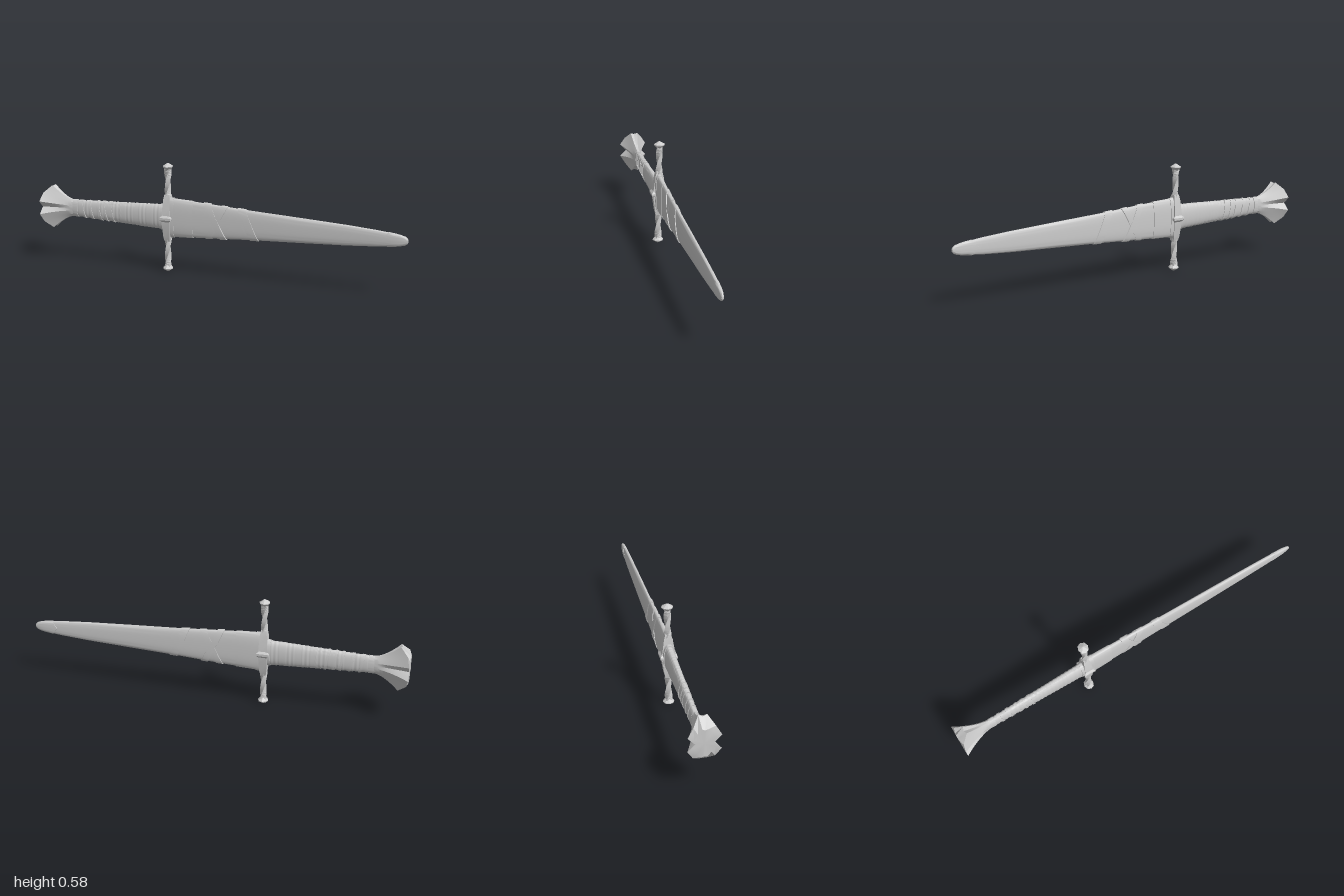
import * as THREE from 'three';
import { toCreasedNormals } from 'three/addons/utils/BufferGeometryUtils.js';

const CY = 0.295; // height of the long axis
const GX = -0.265; // position of the crossguard
const V = (x, y, z) => new THREE.Vector3(x, y, z);
const mat = new THREE.MeshStandardMaterial({ color: 0xcccccc });

// piecewise-linear lookup: pts = [[x, value], ...]
function lerpTable(pts, x) {
  if (x <= pts[0][0]) return pts[0][1];
  for (let i = 1; i < pts.length; i++) {
    const [a, va] = pts[i - 1], [b, vb] = pts[i];
    if (x <= b) return va + ((vb - va) * (x - a)) / (b - a);
  }
  return pts[pts.length - 1][1];
}

// skin closed rings (running y to z, stacked along +x) and cap both ends
function loft(name, rings, crease = 0.6) {
  const n = rings[0].length, pos = [], idx = [];
  rings.forEach((r) => r.forEach((p) => pos.push(p.x, p.y, p.z)));
  const last = (rings.length - 1) * n;
  for (let i = 0; i < rings.length - 1; i++) {
    for (let j = 0; j < n; j++) {
      const a = i * n + j, b = i * n + ((j + 1) % n);
      idx.push(a, b, b + n, a, b + n, a + n);
    }
  }
  [rings[0], rings[rings.length - 1]].forEach((r, e) => {
    const c = r.reduce((s, p) => s.add(p), V(0, 0, 0)).divideScalar(n);
    const k = pos.length / 3;
    pos.push(c.x, c.y, c.z);
    for (let j = 0; j < n; j++) {
      const q = (j + 1) % n;
      if (e) idx.push(k, last + j, last + q);
      else idx.push(k, q, j);
    }
  });
  const g = new THREE.BufferGeometry();
  g.setAttribute('position', new THREE.Float32BufferAttribute(pos, 3));
  g.setIndex(idx);
  const mesh = new THREE.Mesh(toCreasedNormals(g, crease), mat);
  mesh.name = name;
  return mesh;
}

// half height (h), half thickness (w) and squareness (e) along x
const SHEATH = {
  h: [[-0.25, 0.102], [-0.12, 0.097], [0, 0.09], [0.2, 0.077], [0.45, 0.065], [0.7, 0.052],
    [0.85, 0.041], [0.94, 0.031], [0.98, 0.023], [0.993, 0.016], [1, 0.006]],
  w: [[-0.25, 0.019], [0, 0.016], [0.5, 0.014], [0.85, 0.012], [0.97, 0.009], [1, 0.003]],
  e: 0.75,
};
const GRIP = {
  h: [[-0.84, 0.044], [-0.6, 0.054], [-0.4, 0.063], [-0.27, 0.068]],
  w: [[-0.84, 0.017], [-0.5, 0.022], [-0.27, 0.026]],
  e: 0.9,
};

const pw = (v, e) => Math.sign(v) * Math.abs(v) ** e;
function skin(prof, x, a, grow = 0) {
  const h = lerpTable(prof.h, x) + grow, w = lerpTable(prof.w, x) + grow;
  return V(x, CY + h * pw(Math.cos(a), prof.e), w * pw(Math.sin(a), prof.e));
}
// ring whose x may vary around the section
function ring(prof, xAt, grow = 0, n = 40) {
  return Array.from({ length: n }, (_, j) => {
    const a = (j / n) * Math.PI * 2;
    return skin(prof, xAt(pw(Math.cos(a), prof.e)), a, grow);
  });
}
// raised strap; lean = x shift between its middle and its top edge
function strap(name, prof, x, lean, half, grow) {
  const rows = [[-half, -0.003], [-half, grow], [half, grow], [half, -0.003]];
  return loft(name, rows.map(([d, g]) => ring(prof, (c) => x + d + lean * c, g)));
}

function buildPommel() {
  // quarter outline of the lobed end (y, z), mirrored to a full loop
  const q = [[0.112, 0], [0.118, 0.02], [0.08, 0.05], [0.036, 0.077], [0.014, 0.057], [0, 0.042]];
  const half = [...q, ...q.slice(0, -1).reverse().map(([y, z]) => [-y, z])];
  const end = [...half, ...half.slice(1, -1).reverse().map(([y, z]) => [y, -z])];
  const xEnd = (y) => -1 + 0.05 * Math.max(0, (Math.abs(y) - 0.07) / 0.048);
  const rings = [end.map(([y, z]) => V(-1, CY + y * 0.62, z * 0.62))];
  for (let i = 10; i >= 0; i--) {
    const t = i / 10, k = t ** 1.6;
    rings.push(end.map(([y, z]) => {
      const a = Math.atan2(z / 0.077, y / 0.118);
      return V(THREE.MathUtils.lerp(-0.825, xEnd(y), t),
        CY + THREE.MathUtils.lerp(0.047 * Math.cos(a), y, k),
        THREE.MathUtils.lerp(0.02 * Math.sin(a), z, k));
    }));
  }
  return loft('pommel', rings, 0.35);
}

function buildGuard() {
  const guard = new THREE.Group();
  guard.name = 'crossguard';
  // sections are [distance along arm, half x, half z]; built along x, then stood up
  const square = (t, hx, hz, turn = 0) => Array.from({ length: 4 }, (_, j) => {
    const a = Math.PI / 4 + (j * Math.PI) / 2 + turn;
    return V(t, Math.SQRT2 * hx * Math.cos(a), Math.SQRT2 * hz * Math.sin(a) - 0.02 * t);
  });
  const add = (name, rings, crease) => guard.add(loft(name, rings, crease));

  // twisted arms with a faceted knob at each end
  for (const s of [-1, 1]) {
    const arm = [];
    for (let i = 0; i <= 20; i++) {
      const u = i / 20, t = s * (0.09 + 0.175 * u);
      const r = 0.0145 - 0.003 * Math.sin(u * Math.PI) ** 2;
      arm.push(square(t, r, r, s * u * Math.PI));
    }
    const knob = [[0.257, 0.014], [0.272, 0.027], [0.276, 0.027], [0.288, 0.009], [0.292, 0.003]]
      .map(([t, r]) => Array.from({ length: 8 }, (_, j) => {
        const a = (j * Math.PI) / 4;
        return V(s * t, r * Math.cos(a), 1.1 * r * Math.sin(a) - 0.02 * s * t);
      }));
    if (s < 0) { arm.reverse(); knob.reverse(); }
    add('twistedArm', arm, 0.5);
    add('armKnob', knob, 0.2);
  }
  // flared middle with a narrow ridge across its centre
  const mid = [[0.125, 0.014, 0.015], [0.1, 0.018, 0.022], [0.05, 0.021, 0.029], [0.018, 0.023, 0.034]];
  add('guardCentre', [...mid.map(([t, x, z]) => square(-t, x, z)),
    ...mid.slice().reverse().map(([t, x, z]) => square(t, x, z))], 0.2);
  add('guardRidge', [[-0.018, 0.018, 0.033], [-0.006, 0.032, 0.043],
    [0.006, 0.032, 0.043], [0.018, 0.018, 0.033]].map((p) => square(...p)), 0.2);
  guard.rotation.z = Math.PI / 2;
  guard.position.set(GX, 0.2915, 0);
  return guard;
}

export function createModel() {
  const model = new THREE.Group();
  model.name = 'sheathedSword';

  // scabbard body and its stepped throat
  const xs = [-0.25, -0.12, 0, 0.2, 0.45, 0.7, 0.85, 0.94, 0.98, 0.993, 1];
  model.add(loft('scabbard', xs.map((x) => ring(SHEATH, () => x)), 0.9));
  model.add(strap('scabbardThroat', SHEATH, -0.185, 0, 0.065, 0.003));
  model.add(strap('throatRim', SHEATH, -0.238, 0, 0.012, 0.006));

  // crossed straps and the single slanted strap
  model.add(strap('crossStrap', SHEATH, 0.005, -0.045, 0.018, 0.005));
  model.add(strap('crossStrap', SHEATH, 0.012, 0.045, 0.018, 0.0035));
  model.add(strap('slantedStrap', SHEATH, 0.185, -0.035, 0.022, 0.004));

  // chape with a pointed upper edge
  const chape = [0, 0.02, 0.3, 0.6, 0.85, 0.95, 1].map((t, i) => ring(SHEATH,
    (c) => THREE.MathUtils.lerp(0.87 + 0.03 * Math.abs(c), 1, t), i ? 0.002 : -0.002));
  model.add(loft('chape', chape, 0.9));

  // grip with fine wire winding and heavier cords
  const grip = [];
  for (let i = 0; i <= 100; i++) {
    grip.push(ring(GRIP, () => -0.835 + i * 0.0057, i % 4 < 2 ? 0.001 : -0.0005, 28));
  }
  model.add(loft('grip', grip, 0.9));
  for (const x of [-0.765, -0.715, -0.665, -0.63, -0.59]) {
    model.add(strap('gripCord', GRIP, x, -0.01, 0.006, 0.0035));
  }
  model.add(strap('gripFerrule', GRIP, -0.813, 0, 0.014, 0.003));
  model.add(strap('gripCollar', GRIP, -0.29, 0, 0.012, 0.004));

  model.add(buildPommel(), buildGuard());
  return model;
}
